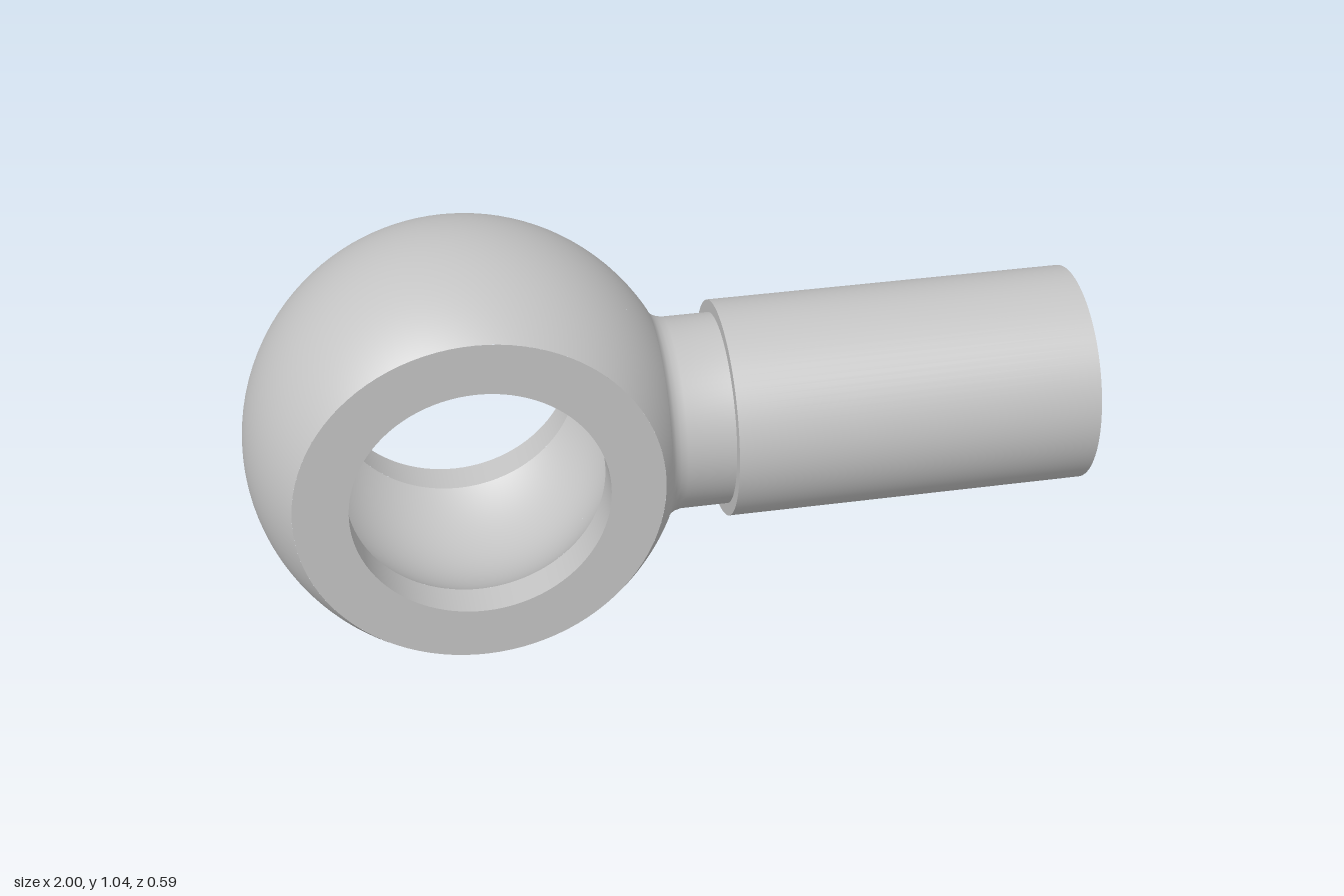
import * as THREE from 'three';
import { toCreasedNormals } from 'three/addons/utils/BufferGeometryUtils.js';

const CX = -0.48, CY = 0.522;      // centre of the eye
const HALF = 0.296, BORE = 0.3;    // half thickness and hole radius of the eye
const BALL = 0.52, GROOVE = 0.21;  // ball radius, half width of the inner groove
const OPEN = 0.75;                 // half angle of the patch that holds the stem opening

// Surface of revolution about z, radius(z); map(u, v) gives [angle, z]. side -1 faces inward.
function revolved(radius, nu, nv, map, side) {
  const pos = [], nor = [], idx = [];
  for (let i = 0; i <= nu; i++) for (let j = 0; j <= nv; j++) {
    const [t, z] = map(i / nu, j / nv), r = radius(z), e = 1e-4;
    const slope = (radius(z + e) - radius(z - e)) / (2 * e);
    const n = new THREE.Vector3(Math.cos(t), Math.sin(t), -slope).normalize().multiplyScalar(side);
    pos.push(r * Math.cos(t), r * Math.sin(t), z);
    nor.push(n.x, n.y, n.z);
    if (i < nu && j < nv) {
      const a = i * (nv + 1) + j, b = a + nv + 1;
      if (side > 0) idx.push(a, b, b + 1, a, b + 1, a + 1);
      else idx.push(a, b + 1, b, a, a + 1, b + 1);
    }
  }
  const g = new THREE.BufferGeometry();
  g.setAttribute('position', new THREE.Float32BufferAttribute(pos, 3));
  g.setAttribute('normal', new THREE.Float32BufferAttribute(nor, 3));
  g.setIndex(idx);
  return g;
}

export function createModel() {
  const model = new THREE.Group();
  const steel = new THREE.MeshStandardMaterial({ color: 0xc4c4c4 });
  steel.name = 'steel grey';

  const eye = new THREE.Group();
  eye.name = 'eye';
  eye.position.set(CX, CY, 0);
  model.add(eye);

  const add = (parent, name, geometry) => {
    const mesh = new THREE.Mesh(geometry, steel);
    mesh.name = name;
    parent.add(mesh);
    return mesh;
  };

  // Wall with a round opening of radius hole towards +x
  function wallWithOpening(name, radius, zMax, hole, side) {
    add(eye, name, revolved(radius, 80, 32,
      (u, v) => [OPEN + u * 2 * (Math.PI - OPEN), (2 * v - 1) * zMax], side));
    add(eye, name + 'AroundOpening', revolved(radius, 12, 96, (u, v) => {
      const c = Math.cos(v * 2 * Math.PI), s = Math.sin(v * 2 * Math.PI);
      const m = Math.max(Math.abs(c), Math.abs(s));
      const t = Math.asin(hole * c / radius(hole * s));
      return [t + (OPEN * c / m - t) * u, hole * s + (zMax * s / m - hole * s) * u];
    }, side));
  }

  // Ball outside, hollow groove inside
  wallWithOpening('ball', z => Math.sqrt(BALL * BALL - z * z), HALF, 0.262, 1);
  wallWithOpening('innerGroove', z => BORE + 0.07 * (1 - (z / GROOVE) ** 2), GROOVE, 0.133, -1);

  // Flat faces and the bore lips behind them
  const faceRadius = Math.sqrt(BALL * BALL - HALF * HALF);
  for (const s of [1, -1]) {
    const face = add(eye, s > 0 ? 'frontFace' : 'backFace', new THREE.RingGeometry(BORE, faceRadius, 96));
    face.position.z = s * HALF;
    if (s < 0) face.rotation.y = Math.PI;
    const mid = s * (HALF + GROOVE) / 2, half = (HALF - GROOVE) / 2;
    add(eye, s > 0 ? 'frontLip' : 'backLip', revolved(() => BORE, 96, 1,
      (u, v) => [u * 2 * Math.PI, mid + (2 * v - 1) * half], -1));
  }

  // Neck fillet, sleeve, annular gap, inner nipple and through bore: [radius, x]
  const profile = [
    [0.262, -0.031], [0.25, -0.025], [0.241, -0.017], [0.234, -0.005], [0.23, 0.012],
    [0.23, 0.127], [0.26, 0.127], [0.26, 1], [0.24, 1],
    [0.215, 0.2], [0.171, 0.2], [0.158, 1], [0.133, 1], [0.133, -0.137],
  ].map(([r, x]) => new THREE.Vector2(r, x));
  const stem = toCreasedNormals(new THREE.LatheGeometry(profile, 96), 0.6);
  stem.rotateZ(-Math.PI / 2);
  add(model, 'stemAndSleeve', stem).position.y = CY;

  return model;
}
